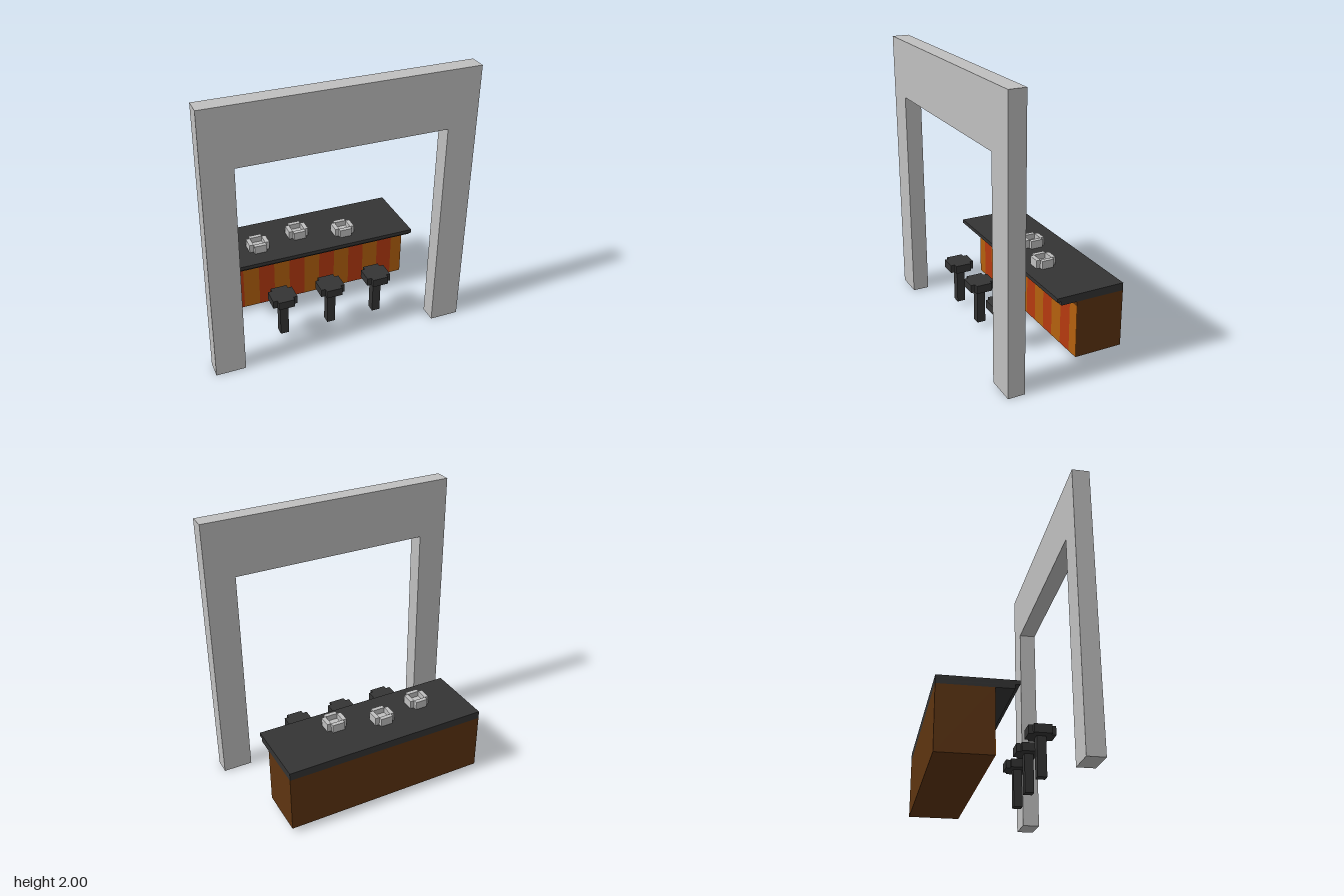
import * as THREE from 'three';

const mat = (name, color) => {
  const m = new THREE.MeshStandardMaterial({ color });
  m.name = name;
  return m;
};

export function createModel() {
  const group = new THREE.Group();
  const grey = mat('light grey', 0xc0c0c0);
  const charcoal = mat('charcoal', 0x343434);
  const brown = mat('dark brown', 0x5e3410);
  const orange = mat('orange', 0xb4600e);
  const red = mat('red', 0xb5390f);

  // Box given by its lower and upper corners
  const box = (name, m, [x0, y0, z0], [x1, y1, z1], parent = group) => {
    const mesh = new THREE.Mesh(new THREE.BoxGeometry(x1 - x0, y1 - y0, z1 - z0), m);
    mesh.position.set((x0 + x1) / 2, (y0 + y1) / 2, (z0 + z1) / 2);
    mesh.name = name;
    parent.add(mesh);
    return mesh;
  };

  // Square outline with notched corners
  const notched = (r, s) => new THREE.Shape([
    [r, -s], [r, s], [s, s], [s, r], [-s, r], [-s, s],
    [-r, s], [-r, -s], [-s, -s], [-s, -r], [s, -r], [s, -s],
  ].map(([x, y]) => new THREE.Vector2(x, y)));

  // Upright prism standing on y
  const prism = (name, m, shape, y, height, parent) => {
    const geo = new THREE.ExtrudeGeometry(shape, { depth: height, bevelEnabled: false });
    geo.rotateX(-Math.PI / 2);
    const mesh = new THREE.Mesh(geo, m);
    mesh.position.y = y;
    mesh.name = name;
    parent.add(mesh);
  };

  // Entrance arch
  const outline = new THREE.Shape([
    [-0.94, 0], [-0.727, 0], [-0.727, 1.583], [0.727, 1.583],
    [0.727, 0], [0.94, 0], [0.94, 2], [-0.94, 2],
  ].map(([x, y]) => new THREE.Vector2(x, y)));
  const arch = new THREE.Mesh(
    new THREE.ExtrudeGeometry(outline, { depth: 0.121, bevelEnabled: false }), grey);
  arch.position.z = 0.364;
  arch.name = 'arch';
  group.add(arch);

  // Counter body and stepped top
  const W = 0.758, back = -0.485, front = -0.121;
  box('counterBody', brown, [-W, 0.035, back], [W, 0.46, front - 0.004]);
  box('counterFrontRail', brown, [-W, 0.425, front - 0.004], [W, 0.46, front]);
  box('counterTopLower', charcoal, [-W, 0.46, back], [W, 0.488, 0]);
  box('counterTop', charcoal, [-W, 0.488, back], [W, 0.516, 0.03]);

  // Alternating front stripes
  const pitch = 0.1213;
  for (let i = -6; i <= 6; i++) {
    const x0 = Math.max(-W, (i - 0.5) * pitch), x1 = Math.min(W, (i + 0.5) * pitch);
    box('frontStripe', i % 2 ? red : orange, [x0, 0.035, front - 0.004], [x1, 0.425, front]);
  }

  // Stools
  for (const x of [-0.364, 0, 0.364]) {
    const stool = new THREE.Group();
    stool.name = 'stool';
    stool.position.set(x, 0, 0.243);
    box('stoolLeg', charcoal, [-0.031, 0.035, -0.031], [0.031, 0.305, 0.031], stool);
    prism('stoolSeat', charcoal, notched(0.091, 0.06), 0.305, 0.06, stool);
    group.add(stool);
  }

  // Bowls with open tops
  for (const [x, z] of [[-0.41, -0.17], [-0.08, -0.234], [0.256, -0.139]]) {
    const bowl = new THREE.Group();
    bowl.name = 'bowl';
    bowl.position.set(x, 0.516, z);
    const rim = notched(0.076, 0.046);
    const h = 0.045;
    rim.holes.push(new THREE.Path([[-h, -h], [-h, h], [h, h], [h, -h]]
      .map(([a, b]) => new THREE.Vector2(a, b))));
    prism('bowlWall', grey, rim, 0, 0.062, bowl);
    box('bowlFloor', grey, [-h, 0, -h], [h, 0.02, h], bowl);
    group.add(bowl);
  }

  return group;
}
